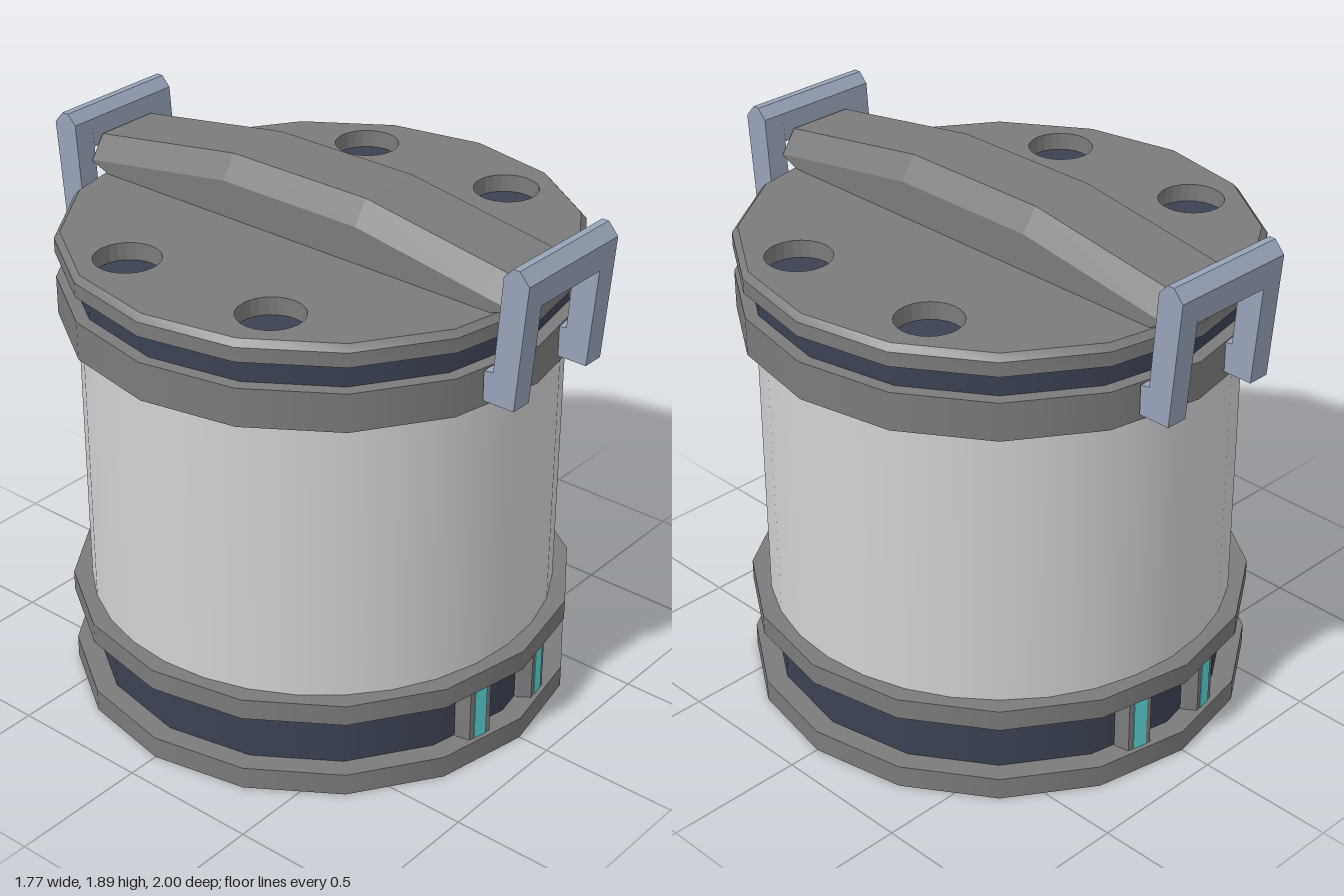
import * as THREE from 'three';
import { toCreasedNormals } from 'three/addons/utils/BufferGeometryUtils.js';

const material = (name, color) => {
  const m = new THREE.MeshStandardMaterial({ color });
  m.name = name;
  return m;
};

export function createModel() {
  const model = new THREE.Group();
  model.name = 'canister';
  const grey = material('mid grey', 0x7a7b7a);
  const light = material('light grey', 0xd2d2d2);
  const dark = material('dark slate', 0x3c4254);
  const steel = material('blue steel', 0x97a3b8);
  const cyan = material('cyan glow', 0x5cd6d6);

  const add = (name, geometry, mat, parent = model) => {
    const mesh = new THREE.Mesh(geometry, mat);
    mesh.name = name;
    parent.add(mesh);
    return mesh;
  };
  const drum = (name, r, y0, y1, mat, sides = 16) =>
    add(name, new THREE.CylinderGeometry(r, r, y1 - y0, sides).translate(0, (y0 + y1) / 2, 0), mat);

  // Stacked drums from the ground up
  const R = 0.885;
  drum('baseRing', R, 0, 0.08, grey);
  drum('lampBand', 0.81, 0.08, 0.285, dark);
  drum('lowerRing', R, 0.285, 0.36, grey);
  drum('body', 0.82, 0.36, 1.39, light, 32);
  drum('upperRing', R, 1.39, 1.525, grey);
  drum('lidSeal', 0.84, 1.525, 1.625, dark);

  // Lid: bevelled rim around a plate with four round wells
  const rim = [[0.8, 1.615], [R, 1.615], [R, 1.665], [0.865, 1.687]].map(p => new THREE.Vector2(...p));
  add('lidRim', toCreasedNormals(new THREE.LatheGeometry(rim, 16), 0.5), grey);

  const plate = new THREE.Shape();
  for (let i = 0; i < 16; i++) {
    const a = i * Math.PI / 8, x = 0.865 * Math.cos(a), y = 0.865 * Math.sin(a);
    if (i) plate.lineTo(x, y); else plate.moveTo(x, y);
  }
  for (const x of [-0.61, 0.61]) for (const z of [-0.305, 0.305]) {
    const hole = new THREE.Path();
    hole.absarc(x, z, 0.113, 0, Math.PI * 2, true);
    plate.holes.push(hole);
  }
  const lid = new THREE.ExtrudeGeometry(plate, { depth: 0.067, bevelEnabled: false, curveSegments: 12 });
  add('lidPlate', lid.rotateX(-Math.PI / 2).translate(0, 1.62, 0), grey);

  // Arched lid bar, lofted from chamfered sections: z, bottom, shoulder, top
  const stations = [
    [-0.89, 1.715, 1.72, 1.8], [-0.8, 1.68, 1.734, 1.814], [-0.28, 1.68, 1.815, 1.895],
    [0.28, 1.68, 1.815, 1.895], [0.8, 1.68, 1.734, 1.814], [0.89, 1.715, 1.72, 1.8],
  ];
  const points = [], index = [], n = 6, last = (stations.length - 1) * n;
  for (const [z, b, s, t] of stations) {
    points.push(0.175, b, z, 0.175, s, z, 0.12, t, z, -0.12, t, z, -0.175, s, z, -0.175, b, z);
  }
  for (let s = 0; s < last; s += n) {
    for (let i = 0; i < n; i++) {
      const a = s + i, b = s + (i + 1) % n;
      index.push(a, b, b + n, a, b + n, a + n);
    }
  }
  for (let i = 1; i < n - 1; i++) index.push(0, i + 1, i, last, last + i, last + i + 1);
  let bar = new THREE.BufferGeometry();
  bar.setAttribute('position', new THREE.Float32BufferAttribute(points, 3));
  bar.setIndex(index);
  bar = bar.toNonIndexed();
  // Sections run counter-clockwise seen from +z, so the side walls face outward after a check
  bar.computeVertexNormals();
  add('lidBar', bar, grey);

  // Side profile (z, y) extruded across x
  const slab = (profile, x0, x1) => {
    const shape = new THREE.Shape(profile.map(p => new THREE.Vector2(...p)));
    return new THREE.ExtrudeGeometry(shape, { depth: x1 - x0, bevelEnabled: false })
      .rotateY(-Math.PI / 2).translate(x1, 0, 0);
  };
  const clampTop = [[1.0, 1.853], [0.963, 1.895], [0.938, 1.895], [0.905, 1.86]];
  const legProfile = [[0.962, 1.415], ...clampTop, [0.88, 1.525], [0.845, 1.52], [0.845, 1.415]];
  const crossProfile = [[0.992, 1.76], ...clampTop, [0.897, 1.76]];

  // Lamp housing cross-section, wider at the band than at its face
  const housing = new THREE.Shape([[-0.065, 0.77], [0.065, 0.77], [0.064, 0.808], [0.045, 0.85], [-0.045, 0.85], [-0.064, 0.808]]
    .map(([x, z]) => new THREE.Vector2(x, -z)));

  // Clamp and lamp pair on the front, repeated on the back
  for (const [side, turn] of [['front', 0], ['back', Math.PI]]) {
    const clamp = new THREE.Group();
    clamp.name = side + 'Clamp';
    clamp.rotation.y = turn;
    model.add(clamp);
    add('leftLeg', slab(legProfile, 0.155, 0.235), steel, clamp);
    add('rightLeg', slab(legProfile, -0.235, -0.155), steel, clamp);
    add('crossbar', slab(crossProfile, -0.155, 0.155), steel, clamp);

    for (const s of [-1, 1]) {
      const lamp = new THREE.Group();
      lamp.name = side + (s > 0 ? 'Left' : 'Right') + 'Lamp';
      lamp.rotation.y = turn + s * Math.PI / 16;
      model.add(lamp);
      const block = new THREE.ExtrudeGeometry(housing, { depth: 0.205, bevelEnabled: false });
      add('housing', block.rotateX(-Math.PI / 2).translate(0, 0.08, 0), grey, lamp);
      add('glowStrip', new THREE.BoxGeometry(0.052, 0.203, 0.006).translate(0, 0.1825, 0.85), cyan, lamp);
    }
  }
  return model;
}
